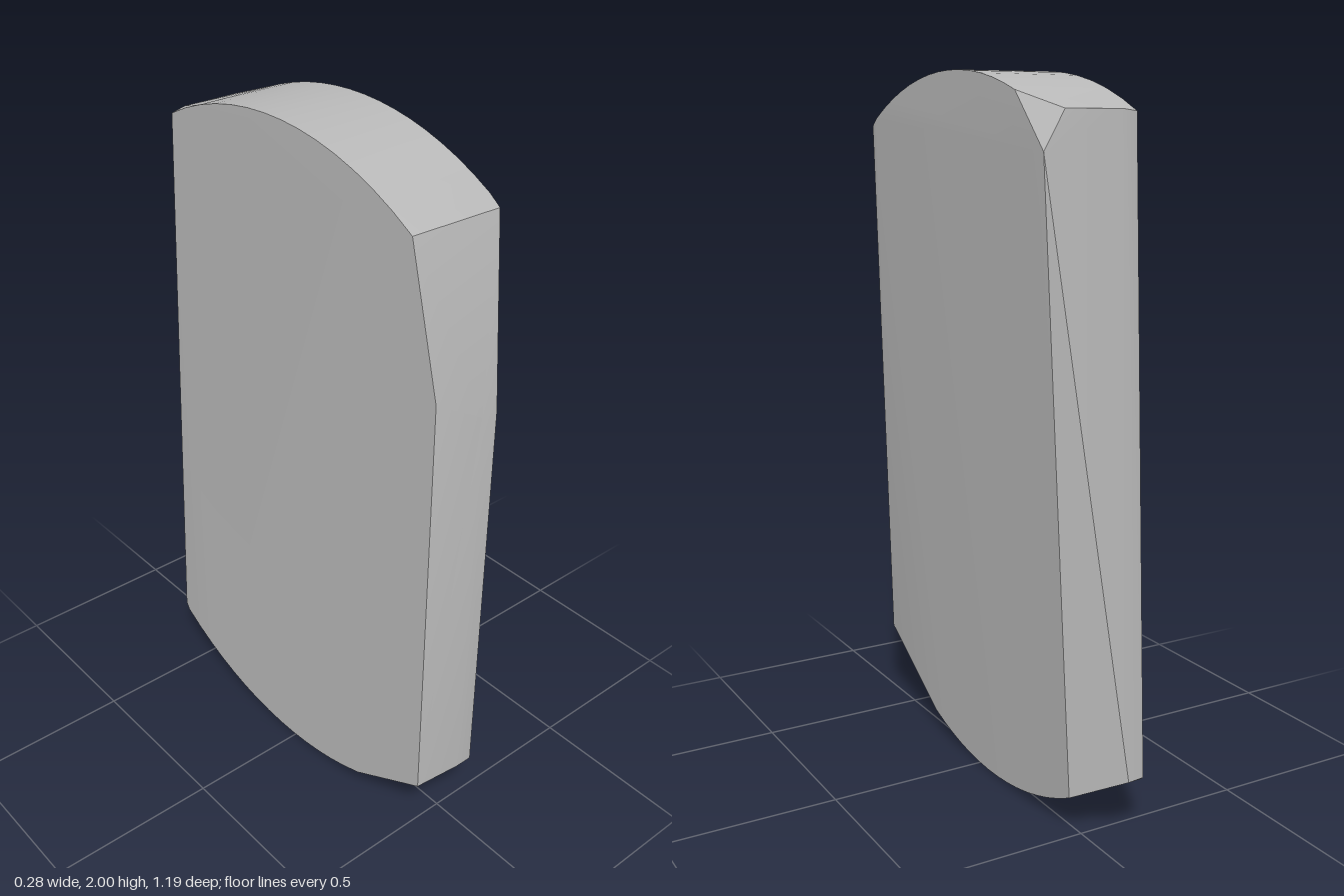
import * as THREE from 'three';
import { ConvexGeometry } from 'three/addons/geometries/ConvexGeometry.js';
import { toCreasedNormals } from 'three/addons/utils/BufferGeometryUtils.js';

const R = 0.95; // radius of the rounded top and bottom, centred on z = -0.05
const arcRise = (z) => Math.sqrt(R * R - (z + 0.05) ** 2);
const topY = (z) => 1.05 + arcRise(z);
const bottomY = (z) => 0.95 - arcRise(z);

export function createModel() {
  const group = new THREE.Group();
  const stone = new THREE.MeshStandardMaterial({ color: 0xb8b8b8 });
  stone.name = 'light grey';

  const points = [];
  const add = (x, y, z) => points.push(new THREE.Vector3(x, y, z));

  // one curved rim, sampled evenly along z
  const addArc = (x, z0, z1, heightAt, steps = 14) => {
    for (let i = 0; i <= steps; i++) {
      const z = z0 + ((z1 - z0) * i) / steps;
      add(x, heightAt(z), z);
    }
  };

  // rounded top, full width
  addArc(-0.14, -0.485, 0.455, topY);
  addArc(0.14, -0.37, 0.42, topY);
  add(0.13, 1.855, 0.465);
  add(0.06, 1.853, 0.46);

  // rounded bottom, narrower because the left side leans inwards
  addArc(-0.14, -0.57, 0.3, bottomY);
  addArc(0.033, -0.49, 0.28, bottomY);
  add(-0.02, bottomY(0.45), 0.45);

  // front face with its sloping upper part
  add(-0.14, 0.21, 0.555);
  add(-0.14, 1.46, 0.555);
  for (const x of [-0.02, 0.03]) {
    add(x, 0.24, 0.59);
    add(x, 1.4, 0.593);
  }

  // slanted back face and clipped upper corner
  add(-0.135, 0.17, -0.59);
  add(-0.085, 0.17, -0.595);
  add(-0.09, 1.9, -0.497);
  add(0.075, 1.9, -0.495);
  add(0.14, 1.8, -0.505);

  const slab = new THREE.Mesh(toCreasedNormals(new ConvexGeometry(points), 0.4), stone);
  slab.name = 'slab';
  group.add(slab);
  return group;
}
